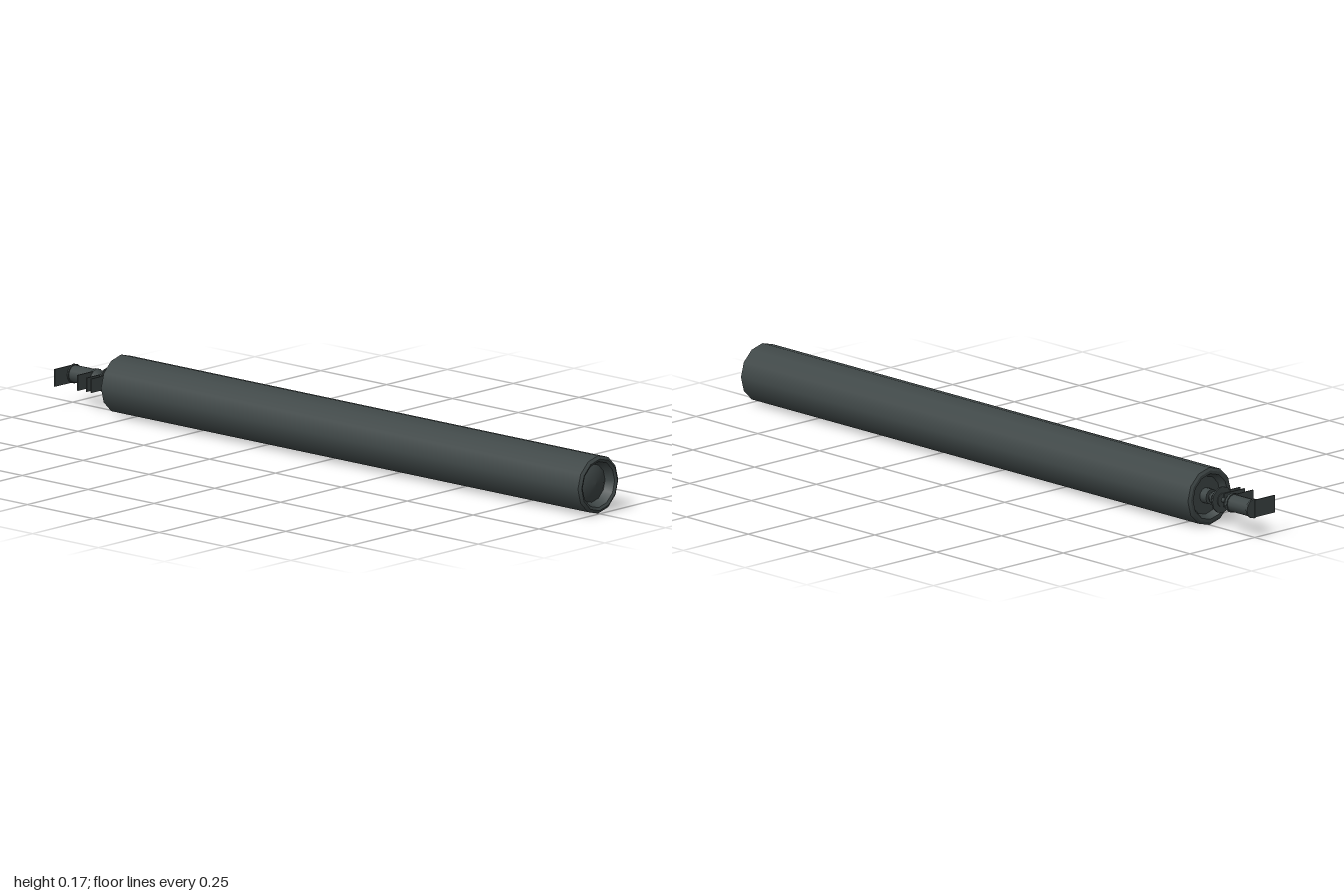
import * as THREE from 'three';

const gunmetal = new THREE.MeshStandardMaterial({ color: 0x3f4747 });
gunmetal.name = 'gunmetal';

const AXIS_Y = 0.083;

// Solid turned about the long axis; profile is [x, radius] from the -x end to the +x end.
// Every corner is doubled so that its edge stays sharp, unless smooth is set.
function turned(name, profile, sides = 12) {
  const points = [];
  for (const [x, r, smooth] of profile) {
    points.push(new THREE.Vector2(r, x));
    if (!smooth) points.push(new THREE.Vector2(r, x));
  }
  const geometry = new THREE.LatheGeometry(points, sides);
  geometry.rotateZ(-Math.PI / 2);
  const mesh = new THREE.Mesh(geometry, gunmetal);
  mesh.name = name;
  return mesh;
}

// Thin upright tab reaching forward from the axis
function tab(x, height, reach) {
  const mesh = new THREE.Mesh(new THREE.BoxGeometry(0.004, height, reach), gunmetal);
  mesh.name = 'tab';
  mesh.position.set(x, 0, reach / 2);
  return mesh;
}

export function createModel() {
  const model = new THREE.Group();
  model.name = 'tubeWithConnector';
  const axis = new THREE.Group();
  axis.name = 'body';
  axis.position.y = AXIS_Y;
  model.add(axis);

  // Long barrel with a bevelled rim and a recessed cap at each end
  axis.add(turned('barrel', [
    [-0.8, 0], [-0.8, 0.055], [-0.82, 0.066], [-0.82, 0.075], [-0.816, 0.083],
    [0.994, 0.083], [1, 0.074], [0.996, 0.066], [0.97, 0.055],
    [0.978, 0.042, true], [0.984, 0.022, true], [0.986, 0],
  ]));

  // Connector: stem, collars and end plug
  const connector = new THREE.Group();
  connector.name = 'connector';
  axis.add(connector);
  connector.add(
    turned('stem', [[-0.9, 0], [-0.9, 0.007], [-0.79, 0.007], [-0.79, 0]], 8),
    turned('baseCollar', [[-0.842, 0], [-0.842, 0.018], [-0.834, 0.018],
      [-0.834, 0.01], [-0.825, 0.012], [-0.825, 0.022], [-0.8, 0.022], [-0.8, 0]]),
    turned('middleCollar', [[-0.871, 0], [-0.871, 0.02], [-0.859, 0.02], [-0.859, 0]]),
    turned('plug', [[-0.998, 0], [-0.998, 0.028], [-0.992, 0.028], [-0.992, 0.025],
      [-0.915, 0.025], [-0.915, 0.028], [-0.907, 0.028], [-0.885, 0.009], [-0.885, 0]]),
  );

  // Flat tabs on the plug and the middle collar
  for (const [x, height] of [[-0.998, 0.05], [-0.91, 0.045], [-0.876, 0.04], [-0.858, 0.04]]) {
    connector.add(tab(x, height, 0.078));
  }

  // Cross plate through the middle collar
  const plate = new THREE.Mesh(new THREE.BoxGeometry(0.006, 0.076, 0.076), gunmetal);
  plate.name = 'crossPlate';
  plate.position.x = -0.866;
  plate.geometry = new THREE.CylinderGeometry(0.038, 0.038, 0.005, 12).rotateZ(Math.PI / 2);
  connector.add(plate);

  return model;
}
